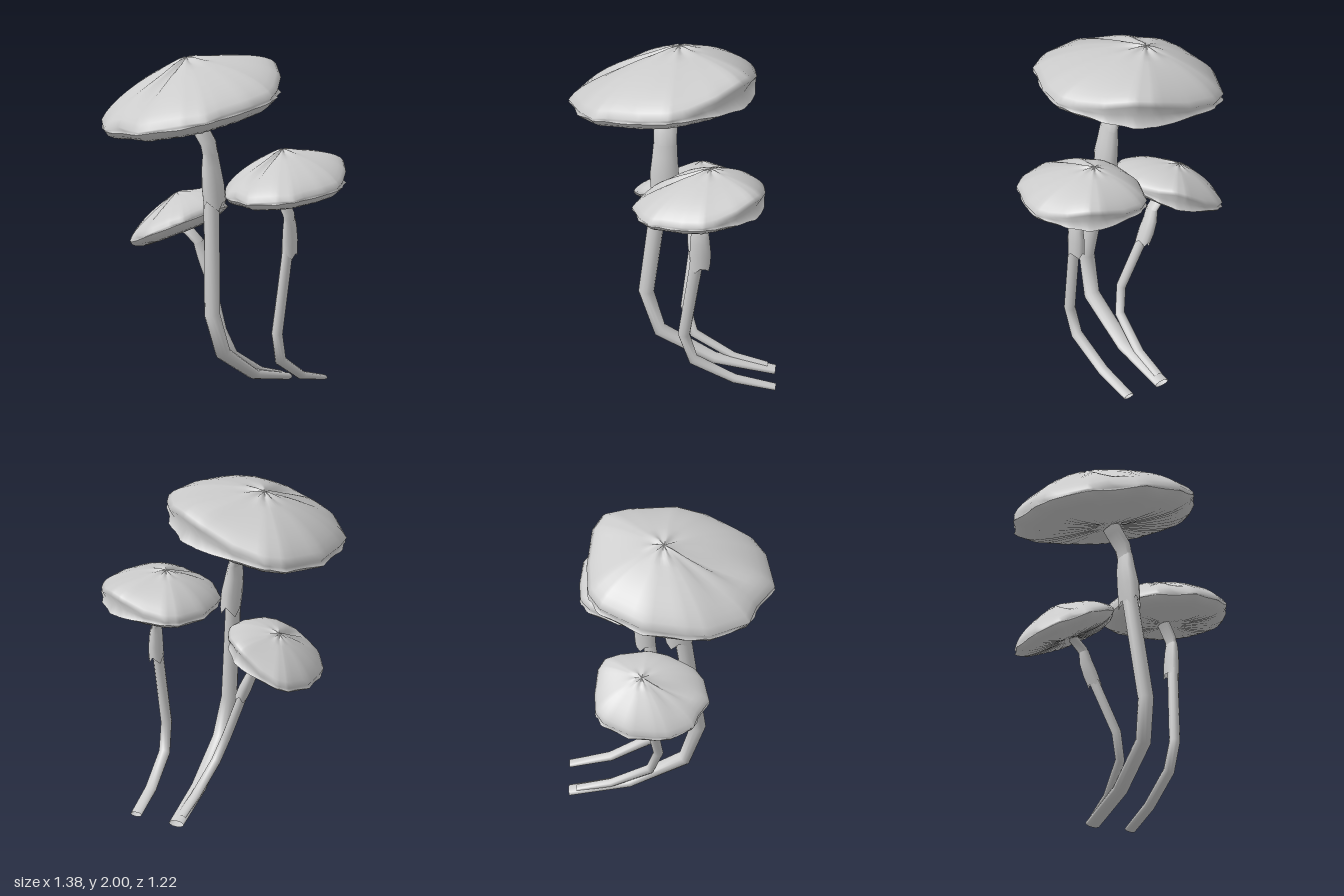
import * as THREE from 'three';

const material = new THREE.MeshStandardMaterial({ color: 0xcccccc, side: THREE.DoubleSide });

// Skin over closed rings of equal point count, first ring at the top
function loft(name, rings) {
  const n = rings[0].length, pos = [], idx = [];
  rings.forEach(r => r.forEach(p => pos.push(p.x, p.y, p.z)));
  for (let i = 0; i < rings.length - 1; i++) {
    for (let j = 0; j < n; j++) {
      const a = i * n + j, b = i * n + (j + 1) % n;
      idx.push(a, b, a + n, b, b + n, a + n);
    }
  }
  const g = new THREE.BufferGeometry();
  g.setAttribute('position', new THREE.Float32BufferAttribute(pos, 3));
  g.setIndex(idx);
  g.computeVertexNormals();
  const mesh = new THREE.Mesh(g, material);
  mesh.name = name;
  return mesh;
}

// Tube along points [x, y, z, radius across, radius in depth]; rag tears the last edge
function tube(name, pts, rag = 0, sides = 12) {
  const P = pts.map(p => new THREE.Vector3(p[0], p[1], p[2]));
  const rings = pts.map((p, i) => {
    const T = P[Math.min(i + 1, P.length - 1)].clone().sub(P[Math.max(i - 1, 0)]).normalize();
    const u = new THREE.Vector3(1, 0, 0).addScaledVector(T, -T.x).normalize();
    const v = T.clone().cross(u);
    return Array.from({ length: sides }, (_, j) => {
      const a = j / sides * Math.PI * 2;
      const q = P[i].clone().addScaledVector(u, Math.cos(a) * p[3]).addScaledVector(v, Math.sin(a) * p[4]);
      if (rag && i === P.length - 1) q.addScaledVector(T, rag * [0, 0.9, 0.2, -0.4, 0.6, 0.1][j % 6]);
      return q;
    });
  });
  return loft(name, rings);
}

// Rim outline seen from above, relative to the cap centre: x, z, upward flare
const RIM = [
  [-0.27, -0.54, 0.02], [-0.07, -0.555, 0.04], [0.17, -0.53, 0.1], [0.29, -0.47, 0.11],
  [0.41, -0.33, 0.06], [0.49, -0.16, 0.02], [0.525, -0.04, 0.01], [0.485, 0.14, 0.01],
  [0.395, 0.31, 0.01], [0.345, 0.41, 0.0], [0.215, 0.49, 0.01], [-0.035, 0.55, 0.0],
  [-0.235, 0.45, 0.02], [-0.355, 0.41, 0.0], [-0.505, 0.19, 0.01], [-0.525, 0.04, 0.02],
  [-0.515, -0.22, 0.02], [-0.385, -0.47, 0.02],
];
const STEP = 4;
const OUTLINE = RIM.flatMap((p, i) => {
  const q = RIM[(i + 1) % RIM.length];
  return Array.from({ length: STEP }, (_, k) => p.map((v, c) => v + (q[c] - v) * k / STEP));
});
const APEX = [-0.1, -0.1];

// Underside profile from the rim inwards: fraction of radius, height
const BELLY = [[0.95, -0.045], [0.87, -0.07], [0.75, -0.09], [0.6, -0.1], [0.4, -0.105], [0.2, -0.105], [0.08, -0.1], [0, -0.1]];

function cap({ at, size, tilt }) {
  const [sx, sy, sz] = size;
  const place = (x, y, z) => new THREE.Vector3(
    at[0] + x * sx,
    at[1] + y * sy + tilt[0] * x * sx + tilt[1] * z * sz,
    at[2] + z * sz);

  // Dome with a small crown and a folded crease running from it to the front
  const top = [0, 0.04, 0.1, 0.2, 0.32, 0.45, 0.58, 0.7, 0.8, 0.88, 0.95, 1].map(t =>
    OUTLINE.map(([ox, oz, lift]) => {
      const x = APEX[0] + (ox - APEX[0]) * t, z = APEX[1] + (oz - APEX[1]) * t;
      const a = Math.atan2(oz - APEX[1], ox - APEX[0]);
      const fold = Math.exp(-(((a - 1.65) / 0.18) ** 2)) * 0.05
        + Math.exp(-(((a - 2.1) / 0.15) ** 2)) * 0.025;
      const pucker = t > 0 ? 0.01 * Math.sin(a * 7) * Math.exp(-(((t - 0.12) / 0.1) ** 2)) : 0;
      const y = 0.24 * Math.pow(1 - t * t, 0.78) + 0.035 * (1 - t) ** 3
        + lift * t * t - fold * Math.sin(Math.PI * Math.min(1, t * 1.1)) + pucker;
      return place(x, y, z);
    }));

  // Rim notch, deepest where the cap flares, and the slightly jagged lower edge
  top.push(OUTLINE.map(([x, z, lift]) => {
    const k = 0.985 - lift * 0.8;
    return place(x * k, lift * 0.3 - 0.01, z * k);
  }));
  const edge = OUTLINE.map(([x, z, lift], j) => {
    const k = 0.995 + 0.012 * Math.sin(j * 1.3);
    return place(x * k, -0.015 - lift * 0.3, z * k);
  });
  top.push(edge);

  // Swollen underside with faint gills
  const under = BELLY.map(([t, y]) => OUTLINE.map(([x, z], j) =>
    place(x * t, y + (j % 2 ? 0.003 : -0.003) * Math.sin(Math.PI * t), z * t)));

  const g = new THREE.Group();
  g.name = 'cap';
  g.add(loft('capTop', top), loft('capUnderside', [edge, ...under]));
  return g;
}

function mushroom(name, { capSpec, stem, sleeve, rag }) {
  const g = new THREE.Group();
  g.name = name;
  g.add(cap(capSpec), tube('stem', stem), tube('stemSleeve', sleeve, rag));
  return g;
}

export function createModel() {
  const model = new THREE.Group();
  model.name = 'mushroomCluster';
  model.add(
    mushroom('tallMushroom', {
      capSpec: { at: [-0.165, 1.73, 0.06], size: [1, 1, 1], tilt: [0.175, -0.1] },
      stem: [
        [-0.145, 1.64, 0.04, 0.035, 0.075], [-0.12, 1.6, 0.04, 0.035, 0.073], [-0.065, 1.52, 0.04, 0.035, 0.07],
        [-0.04, 1.4, 0.04, 0.035, 0.065], [-0.028, 1.17, 0.065, 0.045, 0.05], [0.03, 0.52, 0.15, 0.047, 0.046],
        [0.055, 0.28, 0.07, 0.048, 0.042], [0.068, 0.1, -0.25, 0.048, 0.03], [0.07, 0.025, -0.605, 0.047, 0.022],
      ],
      sleeve: [
        [-0.05, 1.46, 0.04, 0.035, 0.07], [-0.045, 1.38, 0.042, 0.05, 0.075],
        [-0.03, 1.27, 0.045, 0.06, 0.085], [-0.022, 1.17, 0.04, 0.057, 0.085],
      ],
      rag: 0.05,
    }),
    mushroom('rightHandMushroom', {
      capSpec: { at: [0.345, 1.268, -0.16], size: [0.66, 0.74, 0.71], tilt: [0.06, -0.08] },
      stem: [
        [0.305, 1.21, -0.17, 0.022, 0.055], [0.32, 1.18, -0.17, 0.022, 0.055], [0.36, 1.1, -0.17, 0.022, 0.054],
        [0.368, 1.02, -0.17, 0.025, 0.05], [0.362, 0.86, -0.145, 0.03, 0.038], [0.337, 0.4, -0.075, 0.032, 0.035],
        [0.328, 0.23, -0.13, 0.034, 0.032], [0.322, 0.1, -0.37, 0.035, 0.025], [0.32, 0.045, -0.61, 0.035, 0.016],
      ],
      sleeve: [
        [0.365, 1.07, -0.17, 0.025, 0.055], [0.366, 1.03, -0.17, 0.034, 0.058],
        [0.366, 0.95, -0.172, 0.04, 0.063], [0.364, 0.87, -0.17, 0.042, 0.06],
      ],
      rag: 0.035,
    }),
    mushroom('lowMushroom', {
      capSpec: { at: [-0.355, 0.99, -0.105], size: [0.52, 0.66, 0.61], tilt: [0.43, -0.04] },
      stem: [
        [-0.325, 0.955, -0.12, 0.02, 0.045], [-0.3, 0.94, -0.125, 0.02, 0.045], [-0.24, 0.885, -0.13, 0.02, 0.045],
        [-0.205, 0.8, -0.14, 0.022, 0.04], [-0.16, 0.68, -0.125, 0.028, 0.032], [-0.045, 0.38, -0.08, 0.028, 0.03],
        [0.005, 0.23, -0.13, 0.028, 0.028], [0.045, 0.1, -0.36, 0.03, 0.022], [0.06, 0.05, -0.56, 0.03, 0.015],
      ],
      sleeve: [
        [-0.235, 0.88, -0.13, 0.022, 0.046], [-0.215, 0.82, -0.14, 0.034, 0.05],
        [-0.185, 0.75, -0.142, 0.038, 0.054], [-0.16, 0.69, -0.14, 0.036, 0.05],
      ],
      rag: 0.03,
    }),
  );
  return model;
}
